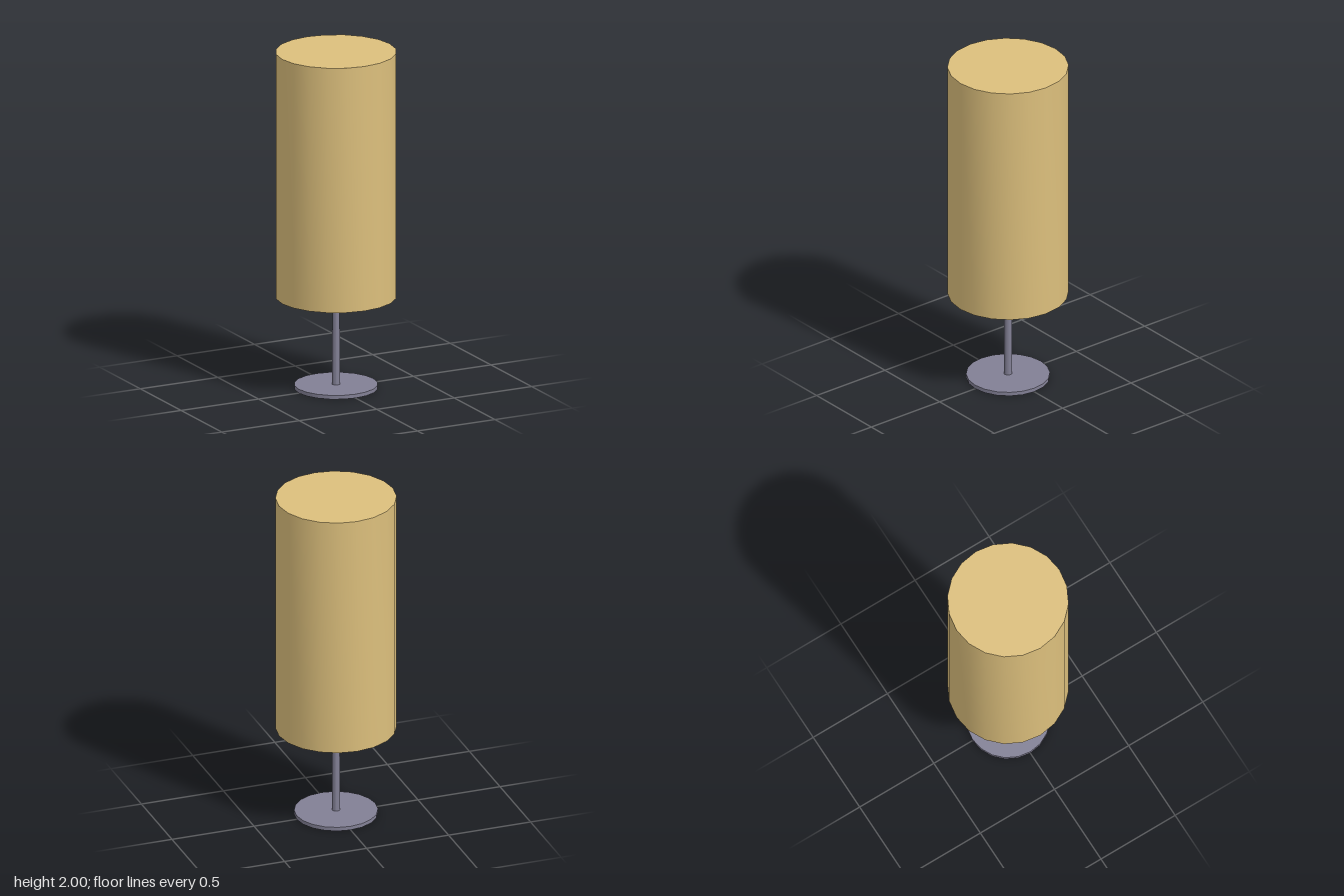
import * as THREE from 'three';
import { toCreasedNormals } from 'three/addons/utils/BufferGeometryUtils.js';

const SIDES = 20;

// Revolve an [x, y] profile, keeping hard edges at the rims
function lathe(name, profile, material) {
  const points = profile.map(([x, y]) => new THREE.Vector2(x, y));
  const mesh = new THREE.Mesh(toCreasedNormals(new THREE.LatheGeometry(points, SIDES), 0.6), material);
  mesh.name = name;
  return mesh;
}

export function createModel() {
  const fabric = new THREE.MeshStandardMaterial({ color: 0xdcbf7c });
  fabric.name = 'tan fabric';
  const metal = new THREE.MeshStandardMaterial({ color: 0x828095 });
  metal.name = 'grey metal';

  const lamp = new THREE.Group();
  lamp.name = 'lamp';

  // Round foot plate
  lamp.add(lathe('base', [[0, 0], [0.24, 0], [0.24, 0.023], [0, 0.023]], metal));

  // Tapered stem, running up inside the shade to its ceiling
  lamp.add(lathe('stem', [[0, 0.02], [0.024, 0.02], [0.01, 1.98], [0, 1.98]], metal));

  // Tall hollow shade: ceiling, inner wall, bottom rim, outer wall, top
  lamp.add(lathe('shade', [
    [0, 1.97], [0.318, 1.97], [0.318, 0.545],
    [0.347, 0.545], [0.347, 2], [0, 2],
  ], fabric));

  return lamp;
}
